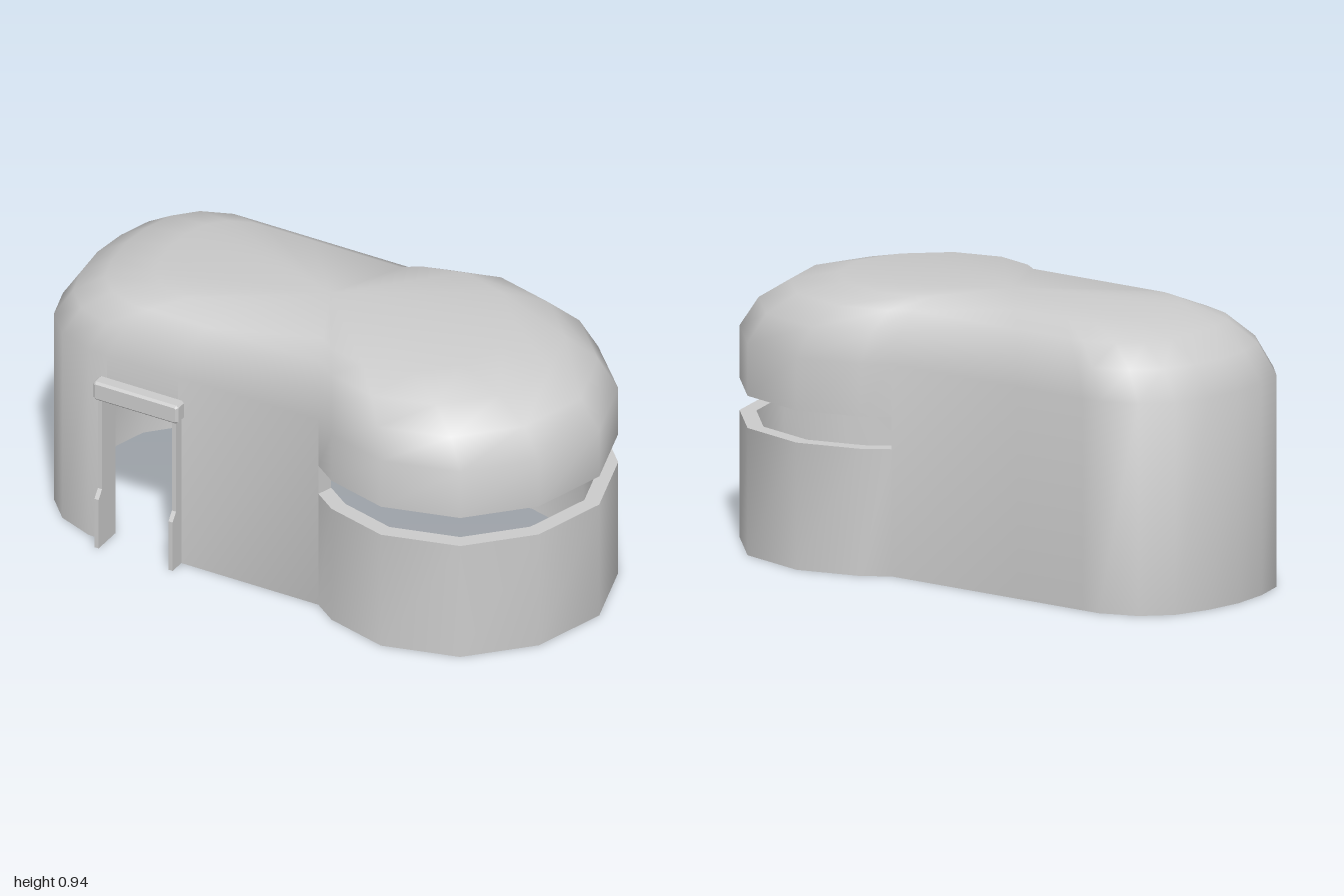
import * as THREE from 'three';
import { toCreasedNormals } from 'three/addons/utils/BufferGeometryUtils.js';

const material = new THREE.MeshStandardMaterial({ color: 0xcccccc });
const WALL = 0.055, EAVE = 0.725, CENTRE = -0.035;

// Half of the floor plan as [x, z], from the narrow end along the front to the wide end
const half = [
  [-1, 0], [-0.985, 0.14], [-0.945, 0.27], [-0.86, 0.36], [-0.73, 0.41], [-0.66, 0.41], [-0.385, 0.41],
  [0.155, 0.41], [0.24, 0.47], [0.465, 0.53], [0.73, 0.46], [0.92, 0.265], [1, 0],
];
const outer = [...half, ...half.slice(1, -1).reverse().map(([x, z]) => [x, -z])];
const N = outer.length;
const inner = offset(outer, WALL);

// Openings: first and last plan point, bottom and top
const door = { from: 5, to: 6, low: 0, high: 0.57 };
const slit = { from: 7, to: N - 7, low: 0.435, high: 0.545 };

// Mitred inward offset of a closed plan
function offset(plan, d) {
  const normal = (a, b) => new THREE.Vector2(-(b[1] - a[1]), b[0] - a[0]).normalize();
  return plan.map((p, i) => {
    const n1 = normal(plan[(i + N - 1) % N], p);
    const n2 = normal(p, plan[(i + 1) % N]);
    const k = d / (1 + n1.dot(n2));
    return [p[0] - (n1.x + n2.x) * k, p[1] - (n1.y + n2.y) * k];
  });
}

function shellGeometry() {
  const pos = [];
  const tri = (...c) => c.forEach((p) => pos.push(...p));
  const quad = (a, b, c, d, flip) => {
    if (flip) [b, d] = [d, b];
    tri(a, b, c, a, c, d);
  };
  const at = (plan, i, y) => [plan[i % N][0], y, plan[i % N][1]];

  // Walls, with caps below and above each solid stretch
  for (let i = 0; i < N; i++) {
    const j = i + 1;
    let spans = [[0, EAVE]];
    if (i >= door.from && i < door.to) spans = [[door.high, EAVE]];
    if (i >= slit.from && i < slit.to) spans = [[0, slit.low], [slit.high, EAVE]];
    for (const [lo, hi] of spans) {
      quad(at(outer, i, lo), at(outer, j, lo), at(outer, j, hi), at(outer, i, hi));
      quad(at(inner, i, lo), at(inner, j, lo), at(inner, j, hi), at(inner, i, hi), true);
      quad(at(outer, i, lo), at(inner, i, lo), at(inner, j, lo), at(outer, j, lo));
      if (hi < EAVE) quad(at(outer, i, hi), at(inner, i, hi), at(inner, j, hi), at(outer, j, hi), true);
    }
  }
  // Side faces of the openings
  for (const { from, to, low, high } of [door, slit]) {
    for (const [i, flip] of [[from, false], [to, true]]) {
      quad(at(outer, i, low), at(inner, i, low), at(inner, i, high), at(outer, i, high), flip);
    }
  }
  // Domed roof, outside and inside: the plan shrinks ring by ring
  const scales = [1, 0.93, 0.815, 0.635];
  const roof = (plan, heights, flip) => {
    const ring = (k) => plan.map(([x, z]) => [CENTRE + (x - CENTRE) * scales[k], heights[k], z * scales[k]]);
    for (let k = 0; k < 3; k++) {
      const a = ring(k), b = ring(k + 1);
      for (let i = 0; i < N; i++) quad(a[i], a[(i + 1) % N], b[(i + 1) % N], b[i], flip);
    }
    const top = ring(3), apex = [CENTRE, heights[3], 0];
    for (let i = 0; i < N; i++) {
      const p = top[i], q = top[(i + 1) % N];
      if (flip) tri(q, p, apex);
      else tri(p, q, apex);
    }
  };
  roof(outer, [EAVE, 0.828, 0.9, 0.943], false);
  roof(inner, [EAVE, 0.8, 0.855, 0.888], true);

  const geometry = new THREE.BufferGeometry();
  geometry.setAttribute('position', new THREE.Float32BufferAttribute(pos, 3));
  return toCreasedNormals(geometry, 0.9);
}

// Side profile given as [z, y], extruded along x between two positions
function profileX(points, x0, x1) {
  const shape = new THREE.Shape(points.map(([z, y]) => new THREE.Vector2(-z, y)));
  const geometry = new THREE.ExtrudeGeometry(shape, { depth: x1 - x0, bevelEnabled: false });
  return geometry.rotateY(Math.PI / 2).translate(x0, 0, 0);
}

export function createModel() {
  const group = new THREE.Group();
  const add = (name, geometry) => {
    const mesh = new THREE.Mesh(geometry, material);
    mesh.name = name;
    group.add(mesh);
  };

  add('bunkerShell', shellGeometry());

  // Door posts, deeper at the foot
  const post = [[0.355, 0], [0.468, 0], [0.468, 0.19], [0.445, 0.22], [0.445, 0.57], [0.355, 0.57]];
  add('rightDoorPost', profileX(post, -0.674, -0.658));
  add('leftDoorPost', profileX(post, -0.389, -0.373));

  // Lintel with bevelled edges
  const lintel = new THREE.Shape();
  lintel.moveTo(-0.69, 0.575).lineTo(-0.682, 0.567).lineTo(-0.371, 0.567).lineTo(-0.363, 0.575);
  lintel.lineTo(-0.363, 0.63).lineTo(-0.371, 0.638).lineTo(-0.682, 0.638).lineTo(-0.69, 0.63);
  const lintelGeometry = new THREE.ExtrudeGeometry(lintel, {
    depth: 0.042, bevelThickness: 0.008, bevelSize: 0.008, bevelOffset: -0.008, bevelSegments: 1,
  });
  add('doorLintel', lintelGeometry.translate(0, 0, 0.405));

  return group;
}
